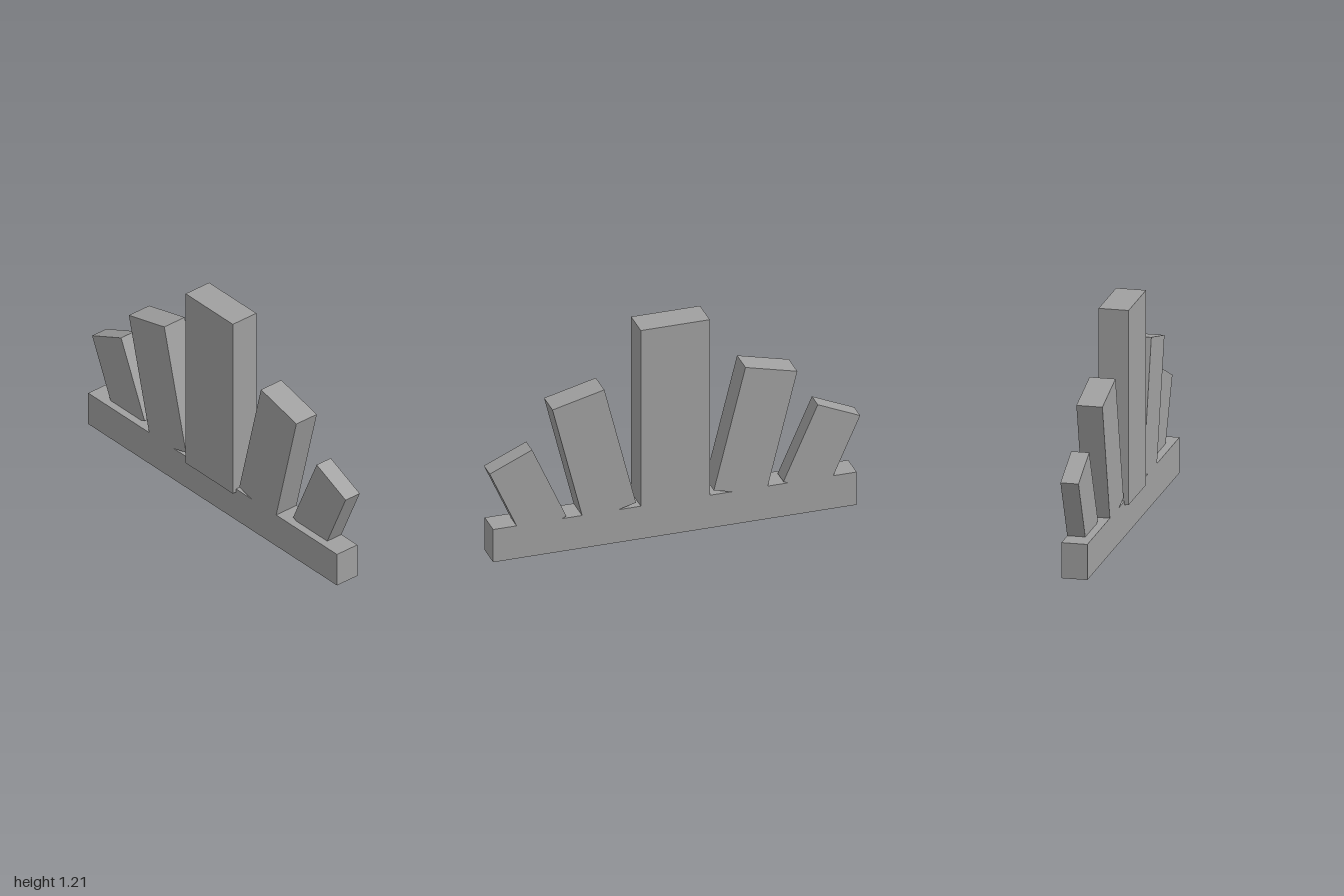
import * as THREE from 'three';

const BACK = -0.08; // every part shares this flat back plane

export function createModel() {
  const group = new THREE.Group();
  const grey = new THREE.MeshStandardMaterial({ color: 0xa0a0a0 });
  grey.name = 'grey';

  // Upright board with its back on the shared plane, leaning by tilt degrees towards +x
  function board(name, x, y, width, height, front, tilt = 0) {
    const depth = front - BACK;
    const mesh = new THREE.Mesh(new THREE.BoxGeometry(width, height, depth), grey);
    mesh.name = name;
    mesh.position.set(x, y, BACK + depth / 2);
    mesh.rotation.z = -THREE.MathUtils.degToRad(tilt);
    group.add(mesh);
  }

  // Base rail and tall middle slat
  board('baseRail', 0, 0.095, 1.96, 0.19, 0.057);
  board('middleSlat', -0.002, 0.69, 0.372, 1.04, 0.078);

  // Fanned slats, mirrored left and right
  for (const [side, s] of [['left', 1], ['right', -1]]) {
    board(side + 'InnerSlat', s * 0.435, 0.522, 0.288, 0.706, 0.057, s * 14);
    board(side + 'OuterSlat', s * 0.792, 0.358, 0.25, 0.455, 0.015, s * 24);
  }
  return group;
}
